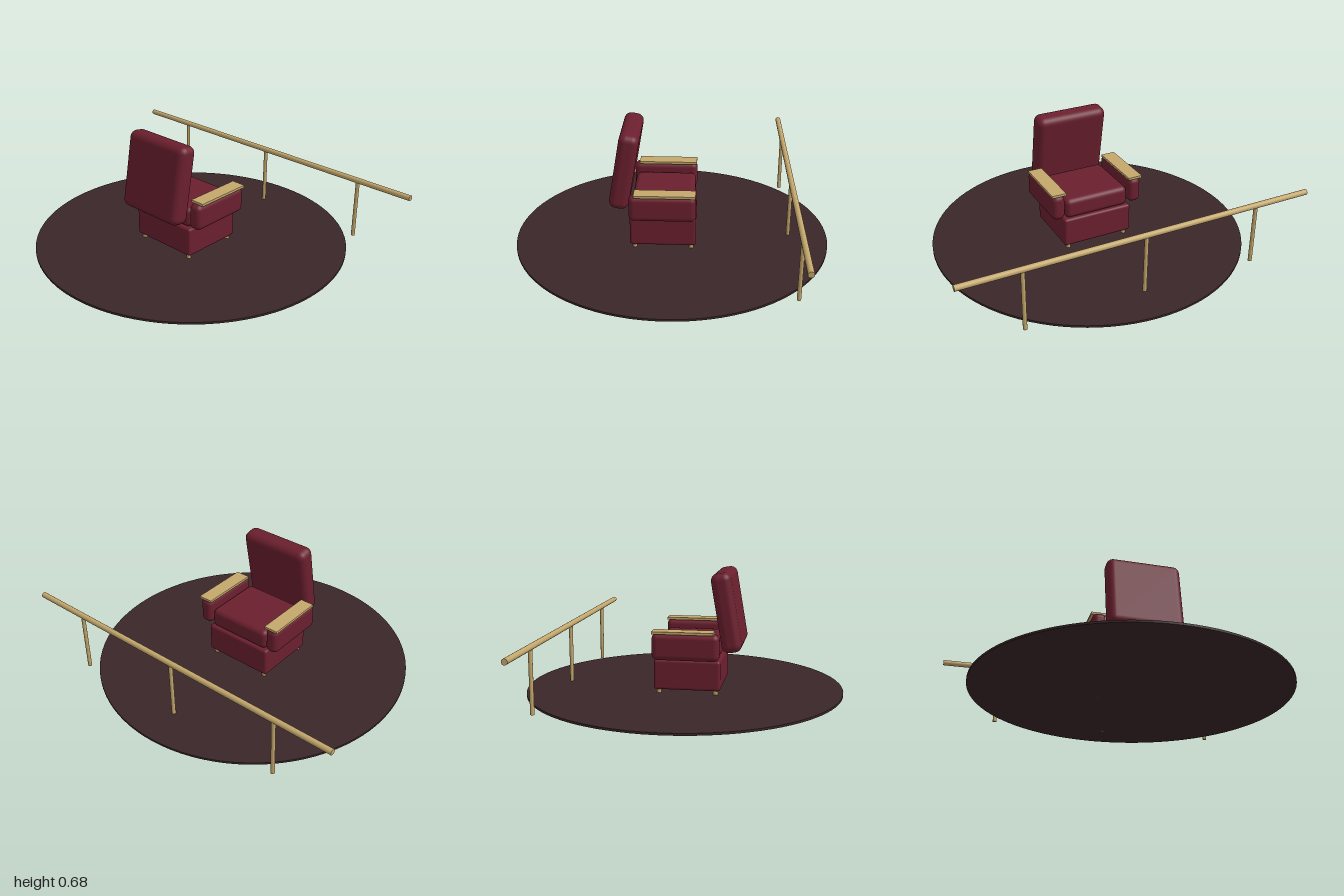
import * as THREE from 'three';
import { RoundedBoxGeometry } from 'three/addons/geometries/RoundedBoxGeometry.js';

const material = (name, color) => {
  const m = new THREE.MeshStandardMaterial({ color });
  m.name = name;
  return m;
};

export function createModel() {
  const model = new THREE.Group();
  model.name = 'armchairWithRail';
  const leather = material('maroon leather', 0x6b1f2e);
  const brass = material('brass', 0xc4a76c);
  const floor = material('dark floor', 0x3a2628);

  const add = (parent, name, geometry, mat, x, y, z) => {
    const mesh = new THREE.Mesh(geometry, mat);
    mesh.name = name;
    mesh.position.set(x, y, z);
    parent.add(mesh);
    return mesh;
  };
  const cushion = (w, h, d, r) => new RoundedBoxGeometry(w, h, d, 4, r);

  // Round platform
  add(model, 'platform', new THREE.CylinderGeometry(0.887, 0.887, 0.012, 96), floor, 0, 0.006, 0);

  // Armchair, seat opening toward -z
  const chair = new THREE.Group();
  chair.name = 'armchair';
  model.add(chair);
  add(chair, 'base', cushion(0.41, 0.166, 0.366, 0.015), leather, 0, 0.118, 0.042);
  add(chair, 'seatCushion', cushion(0.38, 0.115, 0.345, 0.03), leather, 0, 0.256, 0.04);
  const back = add(chair, 'backrest', cushion(0.418, 0.435, 0.11, 0.04), leather, 0, 0.462, 0.253);
  back.rotation.x = -0.17;

  for (const side of [-1, 1]) {
    add(chair, 'armrest', cushion(0.075, 0.147, 0.366, 0.03), leather, side * 0.234, 0.283, 0.042);
    add(chair, 'armCap', new THREE.BoxGeometry(0.082, 0.014, 0.334), brass, side * 0.234, 0.362, 0.029);
    for (const z of [-0.115, 0.198]) {
      add(chair, 'foot', new THREE.CylinderGeometry(0.014, 0.012, 0.04, 16), brass, side * 0.175, 0.02, z);
    }
  }

  // Rail on three posts
  const railing = new THREE.Group();
  railing.name = 'railing';
  railing.position.z = -0.668;
  model.add(railing);
  const rail = add(railing, 'rail', new THREE.CylinderGeometry(0.016, 0.016, 2, 20), brass, 0, 0.347, 0);
  rail.rotation.z = Math.PI / 2;
  for (const x of [-0.667, 0, 0.667]) {
    add(railing, 'post', new THREE.CylinderGeometry(0.011, 0.011, 0.345, 16), brass, x, 0.1725, 0);
  }

  return model;
}
